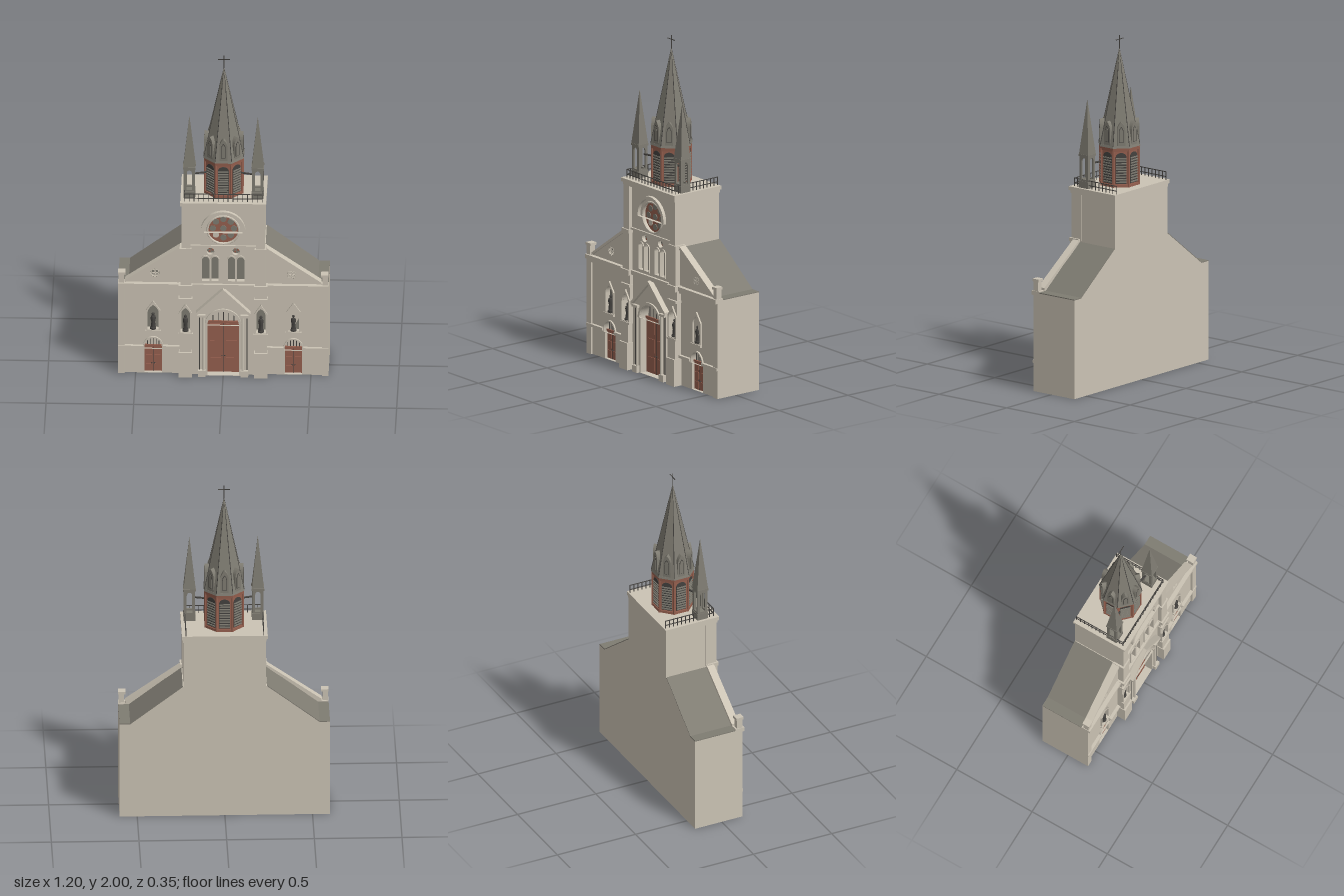
import * as THREE from 'three';
import { toCreasedNormals } from 'three/addons/utils/BufferGeometryUtils.js';

const mat = (name, color) => { const m = new THREE.MeshStandardMaterial({ color }); m.name = name; return m; };

export function createModel() {
  const stone = mat('stone', 0xcbc3b4), slate = mat('slate', 0x7f7c72);
  const wood = mat('redWood', 0x96604f), iron = mat('darkIron', 0x44423f);
  const root = new THREE.Group();
  root.name = 'church';

  const add = (parent, geo, m, name, x = 0, y = 0, z = 0, ry = 0) => {
    const mesh = new THREE.Mesh(toCreasedNormals(geo, 0.5), m);
    mesh.name = name;
    mesh.position.set(x, y, z);
    mesh.rotation.y = ry;
    parent.add(mesh);
    return mesh;
  };
  // Box given by its lower and upper bounds
  const box = (p, m, name, x0, x1, y0, y1, z0, z1) => add(p,
    new THREE.BoxGeometry(Math.abs(x1 - x0), y1 - y0, z1 - z0), m, name, (x0 + x1) / 2, (y0 + y1) / 2, (z0 + z1) / 2);
  const poly = (pts) => new THREE.Shape(pts.map(([x, y]) => new THREE.Vector2(x, y)));
  const slab = (p, m, name, shape, z0, z1, holes = []) => {
    shape.holes.push(...holes);
    return add(p, new THREE.ExtrudeGeometry(shape, { depth: z1 - z0, bevelEnabled: false, curveSegments: 12 }), m, name, 0, 0, z0);
  };
  // Arched outline: half width w, sill y0, spring line ys, rise h
  const arch = (x, w, y0, ys, h, pointed = false) => {
    const s = new THREE.Shape();
    s.moveTo(x - w, y0); s.lineTo(x + w, y0); s.lineTo(x + w, ys);
    if (pointed) {
      s.quadraticCurveTo(x + w, ys + h * 0.6, x, ys + h);
      s.quadraticCurveTo(x - w, ys + h * 0.6, x - w, ys);
    } else s.absellipse(x, ys, w, h, 0, Math.PI, false);
    s.lineTo(x - w, y0);
    return s;
  };
  const disc = (x, y, r) => { const s = new THREE.Shape(); s.absarc(x, y, r, 0, Math.PI * 2); return s; };
  const rod = (p, m, name, a, b, r, sides = 6) =>
    add(p, new THREE.TubeGeometry(new THREE.LineCurve3(new THREE.Vector3(...a), new THREE.Vector3(...b)), 1, r, sides), m, name);
  const both = (fn) => [1, -1].forEach(fn);

  // Main body with the tower block
  const half = [[0.6, 0], [0.6, 0.58], [0.54, 0.58], [0.24, 0.81], [0.235, 0.81], [0.235, 1.1]];
  slab(root, stone, 'body', poly([...half, ...half.map(([x, y]) => [-x, y]).reverse()]), -0.17, 0.09);
  box(root, stone, 'cornice', -0.6, 0.6, 0.565, 0.59, 0.09, 0.145);

  // Statue standing in a niche
  const statue = (x, y, z) => {
    const g = new THREE.Group();
    g.name = 'statue';
    g.position.set(x, y, z);
    root.add(g);
    const robe = [[0.018, 0], [0.018, 0.01], [0.014, 0.012], [0.011, 0.045], [0.016, 0.068], [0.012, 0.082], [0.004, 0.088]];
    add(g, new THREE.LatheGeometry(robe.map(([a, b]) => new THREE.Vector2(a, b)), 10), iron, 'robe');
    add(g, new THREE.SphereGeometry(0.009, 10, 8), iron, 'head', 0, 0.095, 0);
  };
  // Pointed moulding with sill around a niche
  const nicheFrame = (x, w, z) => {
    slab(root, stone, 'nicheFrame', poly([[x - w, 0.275], [x + w, 0.275], [x + w, 0.41], [x, 0.47], [x - w, 0.41]]), z, z + 0.01,
      [arch(x, w - 0.009, 0.285, 0.39, 0.055, true)]);
    box(root, stone, 'nicheSill', x - w - 0.004, x + w + 0.004, 0.268, 0.28, z, z + 0.015);
  };
  // Double door with raised panels, knobs and fanlight bars
  const door = (x, w, top, rise) => {
    box(root, wood, 'door', x - w, x + w, 0, top, 0.09, 0.1);
    box(root, iron, 'doorGap', x - 0.0015, x + 0.0015, 0, top, 0.1, 0.102);
    both((s) => {
      [0.05, 0.38, 0.71].forEach((f) =>
        box(root, wood, 'doorPanel', x + s * w * 0.15, x + s * w * 0.85, top * f, top * (f + 0.24), 0.1, 0.104));
      add(root, new THREE.SphereGeometry(0.004, 8, 6), iron, 'doorKnob', x + s * 0.008, top * 0.33, 0.105);
    });
    box(root, wood, 'doorTransom', x - w, x + w, top - 0.008, top + 0.004, 0.1, 0.108);
    for (let i = -2; i <= 2; i++) {
      const u = i / 3;
      rod(root, iron, 'fanlightBar', [x + u * w, top, 0.1], [x + u * w, top + rise * Math.sqrt(1 - u * u), 0.1], 0.0025);
    }
  };

  both((s) => {
    const X = s * 0.4;
    // Wing roof and front wall
    slab(root, slate, 'wingRoof', poly([[0.6, 0.58], [0.6, 0.585], [0.54, 0.585], [0.24, 0.815], [0.24, 0.81], [0.54, 0.58]]
      .map(([x, y]) => [s * x, y])), -0.17, 0.09);
    slab(root, stone, 'wingWall', poly([[0.24, 0], [0.6, 0], [0.6, 0.58], [0.55, 0.595], [0.24, 0.82]].map(([x, y]) => [s * x, y])),
      0.09, 0.12, [arch(X, 0.05, 0.001, 0.17, 0.06), arch(X, 0.033, 0.285, 0.39, 0.055, true), disc(s * 0.39, 0.65, 0.026)]);
    slab(root, stone, 'gableCoping', poly([[0.56, 0.59], [0.24, 0.81], [0.24, 0.83], [0.56, 0.605]].map(([x, y]) => [s * x, y])), 0.085, 0.13);
    slab(root, slate, 'gableWindow', disc(s * 0.39, 0.65, 0.026), 0.09, 0.098);
    for (let i = 0; i < 4; i++) {
      const a = i * Math.PI / 2 + Math.PI / 4;
      add(root, new THREE.TorusGeometry(0.012, 0.003, 5, 14), stone, 'quatrefoil', s * 0.39 + 0.013 * Math.cos(a), 0.65 + 0.013 * Math.sin(a), 0.119);
    }
    // Panel frame, string course and corner pier
    box(root, stone, 'wallFrame', s * 0.24, s * 0.6, 0.548, 0.566, 0.12, 0.133);
    box(root, stone, 'cornerStrip', s * 0.562, s * 0.6, 0, 0.566, 0.12, 0.133);
    box(root, stone, 'stringCourse', s * 0.245, X - s * 0.055, 0.166, 0.182, 0.12, 0.138);
    box(root, stone, 'stringCourse', X + s * 0.055, s * 0.6, 0.166, 0.182, 0.12, 0.138);
    box(root, stone, 'cornerPier', s * 0.567, s * 0.597, 0.585, 0.65, 0.1, 0.135);
    box(root, stone, 'pierCap', s * 0.558, s * 0.6, 0.645, 0.66, 0.095, 0.14);
    // Side door, its moulding, and niche
    door(X, 0.05, 0.17, 0.06);
    slab(root, stone, 'doorMoulding', arch(X, 0.058, 0.16, 0.17, 0.068), 0.12, 0.13, [arch(X, 0.05, 0.161, 0.17, 0.06)]);
    slab(root, slate, 'nicheBack', arch(X, 0.033, 0.285, 0.39, 0.055, true), 0.09, 0.096);
    nicheFrame(X, 0.041, 0.12);
    statue(X, 0.285, 0.116);

    // Buttress with niche, capital and tower pilaster
    const B = s * 0.215;
    box(root, stone, 'buttressPlinth', s * 0.177, s * 0.253, 0, 0.16, 0.09, 0.173);
    box(root, stone, 'buttressBase', s * 0.181, s * 0.249, 0.16, 0.27, 0.09, 0.163);
    slab(root, stone, 'buttress', poly([[B - 0.035, 0.27], [B + 0.035, 0.27], [B + 0.035, 0.58], [B - 0.035, 0.58]]), 0.09, 0.15,
      [arch(B, 0.028, 0.285, 0.39, 0.055, true)]);
    slab(root, slate, 'nicheBack', arch(B, 0.028, 0.285, 0.39, 0.055, true), 0.1, 0.112);
    nicheFrame(B, 0.038, 0.15);
    statue(B, 0.285, 0.138);
    box(root, stone, 'buttressCapital', s * 0.176, s * 0.254, 0.49, 0.505, 0.09, 0.162);
    box(root, stone, 'buttressCornice', s * 0.176, s * 0.254, 0.56, 0.592, 0.09, 0.165);
    box(root, stone, 'pilasterBase', s * 0.182, s * 0.243, 0.59, 0.82, 0.09, 0.155);
    box(root, stone, 'pilasterBand', s * 0.18, s * 0.248, 0.81, 0.83, 0.09, 0.16);
    box(root, stone, 'pilaster', s * 0.187, s * 0.237, 0.82, 1.1, 0.08, 0.152);

    // Paired lancet windows and roundel
    [0.047, 0.1].forEach((x) => {
      slab(root, slate, 'lancetGlass', arch(s * x, 0.022, 0.61, 0.745, 0.024), 0.1, 0.107);
      slab(root, stone, 'lancetFrame', arch(s * x, 0.026, 0.605, 0.745, 0.03), 0.13, 0.137, [arch(s * x, 0.021, 0.611, 0.745, 0.023)]);
    });
    slab(root, slate, 'roundelGlass', disc(s * 0.073, 0.8, 0.022), 0.1, 0.107);
    for (let i = 0; i < 3; i++)
      slab(root, wood, 'roundelFoil', disc(s * 0.073 + 0.011 * Math.cos(i * 2.094), 0.8 + 0.011 * Math.sin(i * 2.094), 0.006), 0.107, 0.111);
  });

  // Central wall with door, window and rose openings
  const holes = [arch(0, 0.09, 0.001, 0.33, 0.09), disc(0, 0.94, 0.092)];
  both((s) => holes.push(disc(s * 0.073, 0.8, 0.022), ...[0.047, 0.1].map((x) => arch(s * x, 0.022, 0.61, 0.745, 0.024))));
  slab(root, stone, 'centreWall', poly([[-0.19, 0], [0.19, 0], [0.19, 1.1], [-0.19, 1.1]]), 0.09, 0.13, holes);
  door(0, 0.09, 0.33, 0.09);

  // Gabled portal with jamb columns
  slab(root, stone, 'portal', poly([[-0.145, 0], [0.145, 0], [0.145, 0.41], [0, 0.555], [-0.145, 0.41]]), 0.13, 0.145,
    [arch(0, 0.09, 0.001, 0.33, 0.09)]);
  slab(root, stone, 'portalCoping', poly([[-0.155, 0.395], [0, 0.55], [0.155, 0.395], [0.155, 0.415], [0, 0.57], [-0.155, 0.415]]), 0.13, 0.165);
  slab(root, stone, 'portalArch', arch(0, 0.104, 0.33, 0.332, 0.104), 0.145, 0.155, [arch(0, 0.09, 0.331, 0.332, 0.088)]);
  both((s) => {
    box(root, stone, 'portalPlinth', s * 0.1, s * 0.142, 0, 0.04, 0.145, 0.165);
    add(root, new THREE.CylinderGeometry(0.008, 0.008, 0.35, 10), stone, 'portalColumn', s * 0.111, 0.215, 0.152);
    box(root, iron, 'portalShadowGap', s * 0.133, s * 0.138, 0.04, 0.39, 0.145, 0.148);
    box(root, stone, 'portalCapital', s * 0.1, s * 0.15, 0.385, 0.4, 0.145, 0.163);
  });

  // Rose window
  slab(root, wood, 'roseTracery', disc(0, 0.94, 0.092), 0.1, 0.108);
  add(root, new THREE.TorusGeometry(0.09, 0.006, 6, 32), stone, 'roseRim', 0, 0.94, 0.13);
  slab(root, slate, 'roseCentre', disc(0, 0.94, 0.018), 0.108, 0.112);
  for (let i = 0; i < 8; i++) {
    const a = i * Math.PI / 4;
    slab(root, i === 5 ? stone : slate, 'roseFoil', disc(0.06 * Math.cos(a), 0.94 + 0.06 * Math.sin(a), 0.018), 0.108, 0.112);
  }
  slab(root, stone, 'roseHood', arch(0, 0.127, 0.93, 0.94, 0.127), 0.13, 0.15, [arch(0, 0.11, 0.9301, 0.94, 0.11)]);
  box(root, stone, 'towerBand', -0.188, 0.188, 0.83, 0.842, 0.13, 0.14);

  // Tower cornice and terrace
  box(root, stone, 'towerFrieze', -0.238, 0.238, 1.09, 1.11, -0.172, 0.156);
  box(root, stone, 'towerCornice', -0.245, 0.245, 1.108, 1.13, -0.177, 0.165);

  // Railing on the front and both sides
  [1.15, 1.178].forEach((y) => {
    box(root, iron, 'frontRail', -0.222, 0.222, y - 0.002, y + 0.002, 0.138, 0.142);
    both((s) => box(root, iron, 'sideRail', s * 0.22, s * 0.224, y - 0.002, y + 0.002, -0.17, 0.142));
  });
  const post = (x, z) => box(root, iron, 'railPost', x - 0.0018, x + 0.0018, 1.13, 1.18, z - 0.0018, z + 0.0018);
  for (let i = 0; i <= 16; i++) post(-0.222 + i * 0.02775, 0.14);
  both((s) => { for (let i = 0; i < 12; i++) post(s * 0.222, -0.168 + i * 0.0257); });

  // Octagonal belfry and spire
  const spire = new THREE.Group();
  spire.name = 'belfryAndSpire';
  spire.position.z = -0.008;
  root.add(spire);
  const k = 1 / Math.cos(Math.PI / 8);
  const octagon = (m, name, r0, r1, y0, y1) =>
    add(spire, new THREE.CylinderGeometry(r1 * k, r0 * k, y1 - y0, 8), m, name, 0, (y0 + y1) / 2, 0, Math.PI / 8);
  octagon(wood, 'belfry', 0.104, 0.104, 1.13, 1.36);
  octagon(wood, 'belfryBase', 0.11, 0.11, 1.13, 1.145);
  octagon(wood, 'belfryCornice', 0.111, 0.113, 1.34, 1.362);
  octagon(slate, 'spireEaves', 0.116, 0.113, 1.36, 1.372);
  octagon(slate, 'spireRoof', 0.113, 0.002, 1.37, 1.92);
  for (let i = 0; i < 8; i++) {
    const side = new THREE.Group();
    side.name = 'spireSide';
    side.rotation.y = i * Math.PI / 4;
    spire.add(side);
    slab(side, iron, 'louvreOpening', arch(0, 0.031, 1.15, 1.305, 0.026), 0.104, 0.106);
    for (let j = 0; j < 10; j++) box(side, slate, 'louvreSlat', -0.03, 0.03, 1.156 + j * 0.0155, 1.163 + j * 0.0155, 0.104, 0.111);
    slab(side, slate, 'dormer', arch(0, 0.023, 1.37, 1.46, 0.052, true), 0.078, 0.112);
    slab(side, iron, 'dormerOutline', arch(0, 0.014, 1.392, 1.45, 0.036, true), 0.112, 0.1135);
    slab(side, slate, 'dormerLouvre', arch(0, 0.011, 1.395, 1.45, 0.031, true), 0.1135, 0.115);
    const a = Math.PI / 8, c = [Math.sin(a) * k, Math.cos(a) * k];
    rod(side, wood, 'cornerPost', [c[0] * 0.106, 1.13, c[1] * 0.106], [c[0] * 0.106, 1.35, c[1] * 0.106], 0.007);
    rod(side, iron, 'hipRib', [c[0] * 0.113, 1.37, c[1] * 0.113], [0, 1.92, 0], 0.0022, 5);
  }
  // Cross
  rod(spire, iron, 'crossUpright', [0, 1.9, 0], [0, 2, 0], 0.0025);
  rod(spire, iron, 'crossBar', [-0.034, 1.975, 0], [0.034, 1.975, 0], 0.0025);

  // Corner turrets with struts to the belfry
  both((s) => {
    const t = new THREE.Group();
    t.name = 'turret';
    t.position.set(s * 0.195, 0, 0.068);
    root.add(t);
    box(t, slate, 'turretBase', -0.034, 0.034, 1.13, 1.17, -0.034, 0.034);
    for (let i = 0; i < 4; i++) {
      const side = new THREE.Group();
      side.name = 'turretSide';
      side.rotation.y = i * Math.PI / 2;
      t.add(side);
      slab(side, slate, 'turretWall', poly([[-0.032, 1.17], [0.032, 1.17], [0.032, 1.32], [-0.032, 1.32]]), 0.022, 0.032,
        [arch(0, 0.016, 1.18, 1.285, 0.022)]);
    }
    box(t, slate, 'turretEaves', -0.036, 0.036, 1.315, 1.328, -0.036, 0.036);
    add(t, new THREE.CylinderGeometry(0.001, 0.034 * Math.SQRT2, 0.315, 4), slate, 'turretRoof', 0, 1.485, 0, Math.PI / 4);
    rod(root, iron, 'strut', [s * 0.165, 1.268, 0.06], [s * 0.095, 1.268, 0.042], 0.006);
  });
  return root;
}
